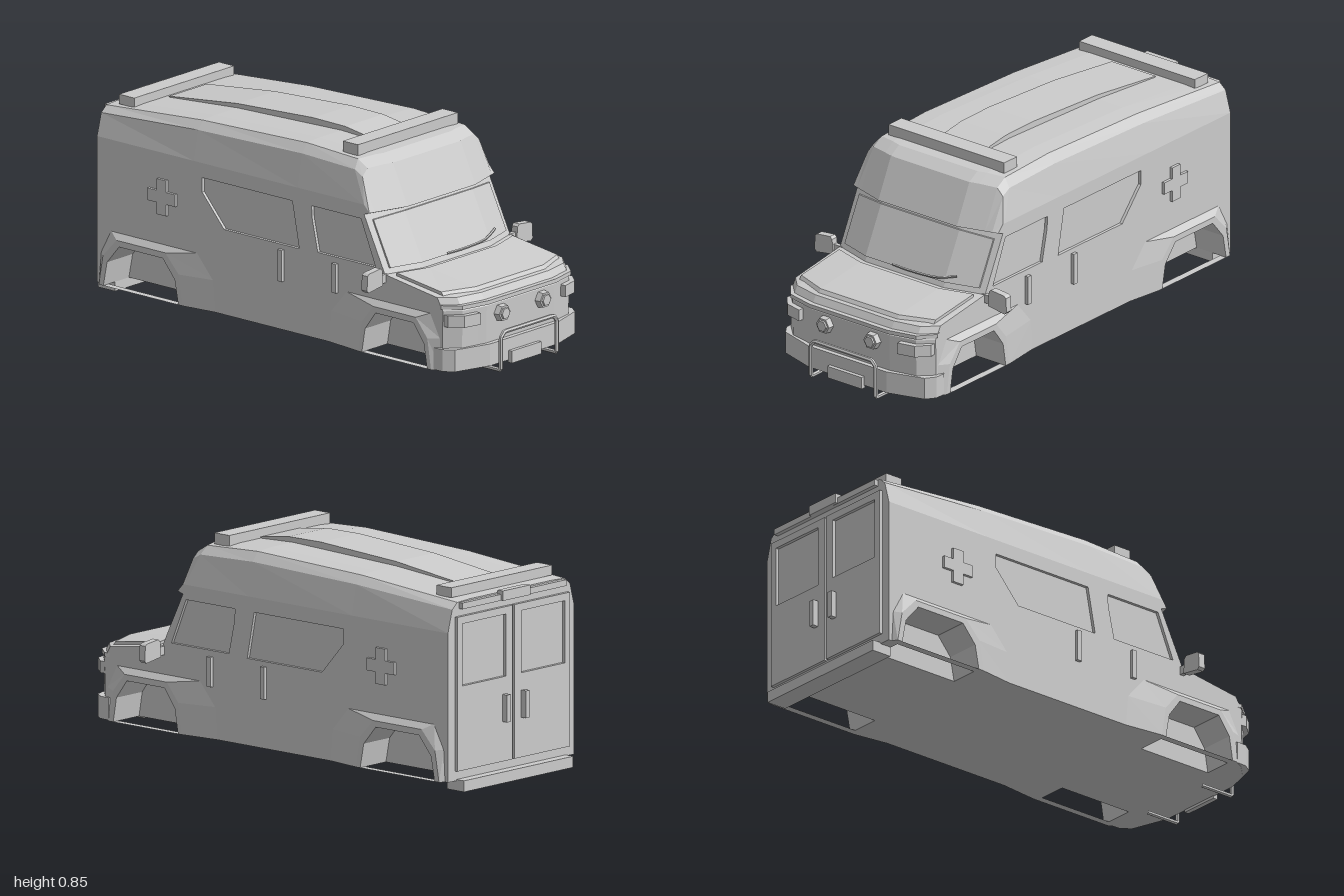
import * as THREE from 'three';

const mat = new THREE.MeshStandardMaterial({ color: 0xcccccc, flatShading: true });
const thin = new THREE.MeshStandardMaterial({ color: 0xcccccc, flatShading: true, side: THREE.DoubleSide });

// Skin a row of rings (ordered by rising x); caps: 'both', 'first' or 'none', with optional holes given as [z, y]
function loft(rings, caps = 'both', holes = []) {
  const pos = [];
  const tri = (...pts) => pts.forEach((p) => pos.push(...p));
  for (let i = 0; i < rings.length - 1; i++) {
    const r = rings[i], q = rings[i + 1], n = r.length;
    for (let j = 0; j < n; j++) {
      const k = (j + 1) % n;
      tri(r[j], q[j], q[k]);
      tri(r[j], q[k], r[k]);
    }
  }
  const cap = (ring, flip) => {
    const flat = ring.map((p) => new THREE.Vector2(p[2], p[1]));
    const cut = holes.map((h) => h.map(([z, y]) => new THREE.Vector2(z, y)));
    const all = [...ring, ...holes.flat().map(([z, y]) => [ring[0][0], y, z])];
    for (const [a, b, c] of THREE.ShapeUtils.triangulateShape(flat, cut))
      flip ? tri(all[a], all[c], all[b]) : tri(all[a], all[b], all[c]);
  };
  if (caps !== 'none') cap(rings[0], false);
  if (caps === 'both') cap(rings[rings.length - 1], true);
  const g = new THREE.BufferGeometry();
  g.setAttribute('position', new THREE.Float32BufferAttribute(pos, 3));
  g.computeVertexNormals();
  return g;
}

const ringAt = (x, pts) => pts.map(([z, y]) => [x, y, z]);
const shapeOf = (pts) => new THREE.Shape(pts.map(([a, b]) => new THREE.Vector2(a, b)));
const extrude = (shape, depth) => new THREE.ExtrudeGeometry(shape, { depth, bevelEnabled: false });

// Plan outline [x, z] raised from y0 to y1
function planSlab(pts, y0, y1) {
  return extrude(shapeOf(pts), y1 - y0).rotateX(Math.PI / 2).translate(0, y1, 0);
}
const mirrorPlan = (half) => [...half, ...half.map(([x, z]) => [-x, z]).reverse()];

// How far the windshield and the nose sweep back towards the sides
const glassBow = (x) => Math.max(0, Math.abs(x) - 0.2) * 0.3;
function noseBow(x) {
  const a = Math.abs(x);
  return a < 0.2 ? 0 : a < 0.315 ? (a - 0.2) * 0.22 : 0.025 + (a - 0.315);
}

// Wheel arch outline from rear to front
const archPts = (c, s, k = 1, up = 0) =>
  [[-0.172, 0.04], [-0.155, 0.14], [-0.1, 0.215], [0.1, 0.215], [0.155, 0.14], [0.172, 0.04]]
    .map(([z, y]) => [c + z * s * k, y > 0.05 ? y + up : y]);
const ARCHES = [{ c: -0.71, s: 1.15, front: 0.38, rear: 0.235 }, { c: 0.628, s: 1, front: 0.23, rear: 0.37 }];

// Side profile at x; f is how much of the roof height is reached there
function bodyRing(x, f, arched) {
  const g = glassBow(x), n = noseBow(x);
  const arches = ARCHES.flatMap((a) => archPts(a.c, a.s)).map(([z, y]) => [z, arched ? y : 0.04]);
  const roof = [[0.45 + (1 - f) * 0.05 - g, 0.775], [0.4 + (1 - f) * 0.09 - g, 0.805], [0.1, 0.818],
    [-0.45, 0.8], [-0.96, 0.76]].map(([z, y]) => [z, 0.64 + f * (y - 0.64)]);
  return ringAt(x, [[-0.96, 0.04], ...arches, [0.94 - n, 0.04], [0.945 - n, 0.285], [0.915 - n, 0.335],
    [0.61 - g, 0.375], [0.5 - g, 0.6], [0.528 - g, 0.61], ...roof]);
}

const WINDOWS = [
  [[0.205, 0.395], [0.51, 0.395], [0.432, 0.58], [0.172, 0.58], [0.175, 0.53]],
  [[-0.29, 0.39], [0.107, 0.39], [0.07, 0.58], [-0.405, 0.58], [-0.405, 0.52]],
];

export function createModel() {
  const model = new THREE.Group();
  const add = (name, geo, m = mat) => {
    const mesh = new THREE.Mesh(geo, m);
    mesh.name = name;
    model.add(mesh);
    return mesh;
  };
  const box = (name, w, h, d, x, y, z) => add(name, new THREE.BoxGeometry(w, h, d).translate(x, y, z));

  // Body shell with wheel wells and window openings
  const half = [[0.37, 0, 1], [0.345, 0.76, 1], [0.315, 0.97, 1], [0.24, 1, 1], [0.24, 1, 0], [0.2, 1, 0]];
  const stations = [...half.map(([x, f, a]) => [-x, f, a]), ...half.slice().reverse()];
  add('body', loft(stations.map(([x, f, a]) => bodyRing(x, f, a)), 'both', WINDOWS));

  // Windshield pane and raised bonnet panel, both following the bowed front
  const across = [-0.343, -0.2, 0.2, 0.343];
  add('windshield', loft(across.map((x) => {
    const g = glassBow(x), top = 0.59 - g * 0.3;
    const z = (y) => 0.61 - g - (y - 0.375) * 0.489;
    return ringAt(x, [[z(0.395) - 0.01, 0.395], [z(0.395) + 0.007, 0.397], [z(top) + 0.007, top], [z(top) - 0.01, top]]);
  })));
  add('bonnetPanel', loft(across.map((x) => {
    const g = glassBow(x), n = noseBow(x);
    return ringAt(x, [[0.64 - g, 0.355], [0.905 - n, 0.325], [0.885 - n, 0.352], [0.64 - g, 0.383]]);
  })));

  // Raised roof panel
  const roofPts = [[-0.81, 0.76], [0.27, 0.8], [0.27, 0.816], [0.12, 0.838], [-0.05, 0.84], [-0.45, 0.818], [-0.81, 0.776]];
  add('roofPanel', loft([-0.112, 0.112].map((x) => ringAt(x, roofPts))));

  // Light bars on the roof
  box('frontLightBar', 0.59, 0.045, 0.08, 0, 0.827, 0.31);
  box('rearLightBar', 0.59, 0.04, 0.08, 0, 0.785, -0.87);

  // Front bumper, bonnet lip, plate and bull bar
  add('frontBumper', planSlab(mirrorPlan([[0.37, 0.82], [0.385, 0.83], [0.383, 0.875], [0.355, 0.915], [0.2, 0.962]]), 0.042, 0.132));
  add('bonnetLip', planSlab(mirrorPlan([[0.36, 0.8], [0.375, 0.86], [0.32, 0.925], [0.2, 0.953]]), 0.292, 0.308));
  box('plate', 0.175, 0.05, 0.02, -0.002, 0.056, 0.968);
  const barPath = new THREE.CurvePath();
  const bar = [[-0.165, 0.022, 0.83], [-0.165, 0.022, 0.988], [-0.165, 0.155, 0.988], [-0.145, 0.176, 0.988],
    [0.145, 0.176, 0.988], [0.165, 0.155, 0.988], [0.165, 0.022, 0.988], [0.165, 0.022, 0.83]]
    .map((p) => new THREE.Vector3(...p));
  bar.slice(1).forEach((p, i) => barPath.add(new THREE.LineCurve3(bar[i], p)));
  add('bullBar', new THREE.TubeGeometry(barPath, 120, 0.009, 6));

  // Wiper
  const wiper = new THREE.CatmullRomCurve3([[-0.06, 0.402, 0.608], [0.03, 0.402, 0.612], [0.17, 0.41, 0.607], [0.25, 0.43, 0.586]]
    .map((p) => new THREE.Vector3(...p)));
  add('wiper', new THREE.TubeGeometry(wiper, 12, 0.005, 5));

  // Rear step, top trim and lamp
  box('rearStep', 0.64, 0.045, 0.09, 0, 0.0225, -0.955);
  box('rearTrim', 0.61, 0.025, 0.02, 0, 0.742, -0.968);
  box('rearLamp', 0.16, 0.04, 0.03, 0, 0.75, -0.975);

  const a = 0.025, b = 0.073;
  const cross = shapeOf([[a, a], [a, b], [-a, b], [-a, a], [-b, a], [-b, -a], [-a, -a], [-a, -b], [a, -b], [a, -a], [b, -a], [b, a]]);

  for (const s of [-1, 1]) {
    const side = s > 0 ? 'left' : 'right';

    // Recessed side windows
    WINDOWS.forEach((w, i) => add(`${side}Window${i + 1}`,
      loft([ringAt(s * 0.357, w), ringAt(s * 0.37, w)], 'first'), thin));

    // Wheel arch flares
    for (const { c, s: k, front, rear } of ARCHES) {
      const outer = [[c - rear, 0.04], [c - rear * 0.97, 0.17], [c - rear * 0.75, 0.265],
        [c + front * 0.75, 0.265], [c + front * 0.97, 0.17], [c + front, 0.04]];
      add(`${side}Flare`, loft([ringAt(s * 0.36, archPts(c, k)), ringAt(s * 0.391, archPts(c, k)),
        ringAt(s * 0.391, archPts(c, k, 1.12, 0.025)), ringAt(s * 0.369, outer)], 'none'), thin);
    }

    // Door handles and side cross
    box(`${side}FrontHandle`, 0.02, 0.12, 0.022, s * 0.374, 0.31, 0.3);
    box(`${side}SlidingHandle`, 0.02, 0.13, 0.022, s * 0.374, 0.305, 0.015);
    add(`${side}Cross`, extrude(cross, 0.02).translate(0, 0, -0.01).rotateY(Math.PI / 2).translate(s * 0.372, 0.46, -0.61));

    // Headlight wrapping the corner, and hexagonal fog lamp with a stepped lens
    const lamp = [[0.25, 0.89], [0.25, 0.958], [0.325, 0.94], [0.368, 0.89], [0.366, 0.85]];
    add(`${side}Headlight`, planSlab(lamp.map(([x, z]) => [s * x, z]), 0.222, 0.27));
    const hex = (r, d, z) => new THREE.CylinderGeometry(r * 0.9, r, d, 6).rotateY(Math.PI / 6)
      .rotateX(Math.PI / 2).rotateZ(0).translate(s * 0.121, 0.243, z);
    add(`${side}FogLamp`, hex(0.037, 0.03, 0.955));
    add(`${side}FogLens`, hex(0.026, 0.01, 0.972));

    // Wing mirror
    box(`${side}MirrorArm`, 0.06, 0.035, 0.018, s * 0.385, 0.36, 0.555);
    const head = [[0.395, 0.338], [0.48, 0.325], [0.49, 0.335], [0.487, 0.395], [0.477, 0.403], [0.41, 0.41], [0.4, 0.4]];
    add(`${side}Mirror`, extrude(shapeOf(head.map(([x, y]) => [s * x, y])), 0.03).translate(0, 0, 0.542));

    // Rear door with window opening and handle
    const door = shapeOf([[0.006, 0.08], [0.33, 0.08], [0.33, 0.7], [0.006, 0.7]].map(([x, y]) => [s * x, y]));
    door.holes.push(new THREE.Path([[0.045, 0.42], [0.045, 0.67], [0.3, 0.67], [0.3, 0.42]]
      .map(([x, y]) => new THREE.Vector2(s * x, y))));
    add(`${side}RearDoor`, extrude(door, 0.016).translate(0, 0, -0.974));
    box(`${side}RearHandle`, 0.022, 0.11, 0.028, s * 0.055, 0.295, -0.985);
  }

  return model;
}
